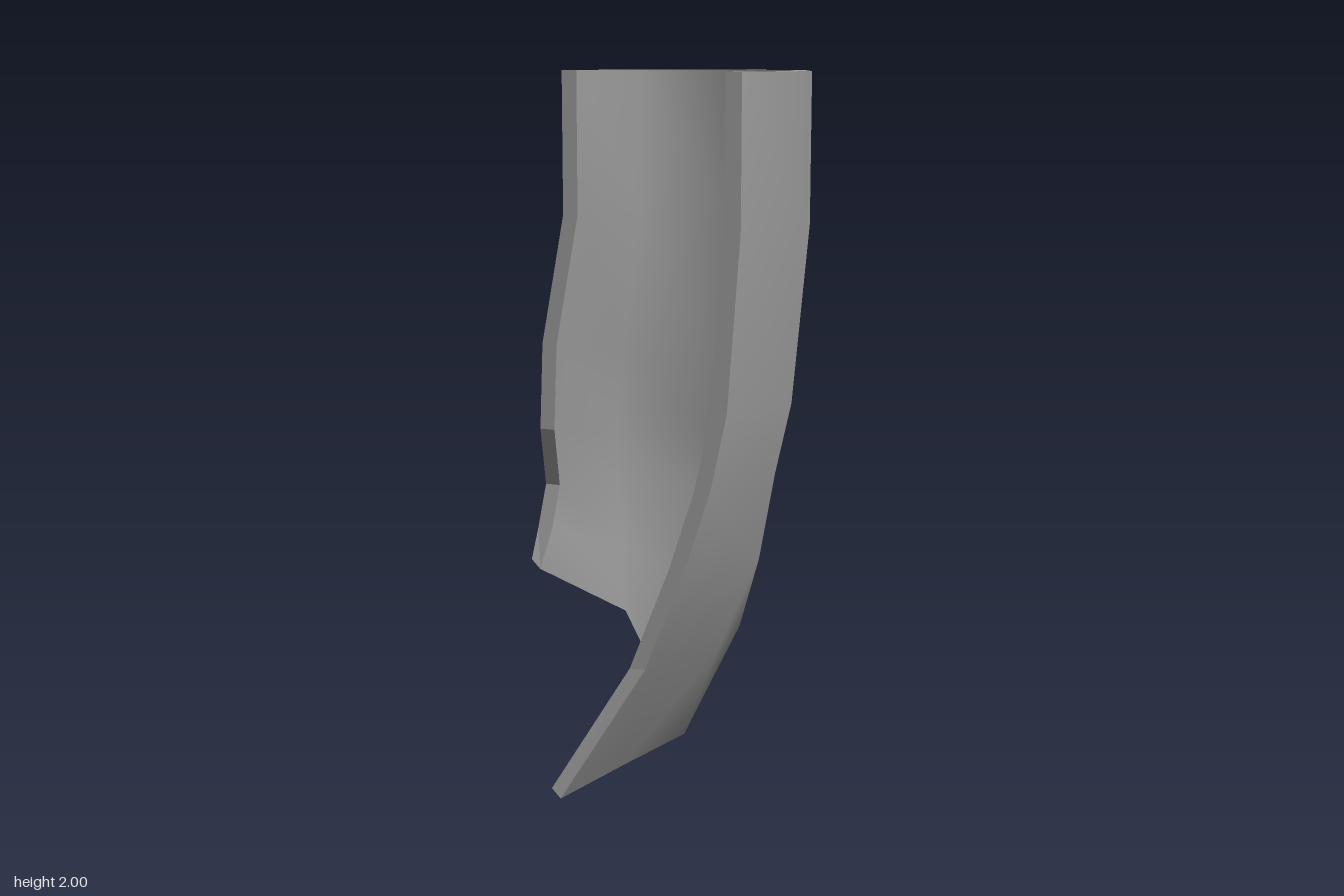
import * as THREE from 'three';
import { mergeGeometries, mergeVertices } from 'three/addons/utils/BufferGeometryUtils.js';

// Outer strands running down the shell from the straight collar to the slanted
// lower rim, going around from the front edge to the other free edge.
// inset is the step (x, z) from the outer to the inner skin.
const strands = [
  { inset: [-0.045, 0], path: [[0.33, 1.6, 0.293], [0.295, 1.12, 0.293], [0.25, 0.91, 0.293], [0.175, 0.68, 0.293], [0.06, 0.39, 0.293], [-0.175, 0, 0.345]] },
  { inset: [-0.045, 0], path: [[0.425, 1.6, 0.022], [0.38, 1.11, 0.022], [0.335, 0.91, 0.022], [0.29, 0.66, 0.022], [0.17, 0.38, 0.03], [-0.09, 0.025, 0.1]] },
  { inset: [-0.035, 0.03], path: [[0.32, 1.6, -0.235], [0.285, 1.13, -0.235], [0.25, 0.93, -0.235], [0.215, 0.7, -0.23], [0.155, 0.39, -0.19], [0, 0.05, -0.14]] },
  { inset: [0, 0.045], path: [[0.06, 1.6, -0.345], [0.02, 1.15, -0.345], [-0.01, 0.95, -0.345], [-0.02, 0.76, -0.342], [-0.05, 0.5, -0.265], [-0.12, 0.26, -0.185]] },
  { inset: [0.03, 0.03], path: [[-0.2, 1.6, -0.235], [-0.25, 1.2, -0.235], [-0.275, 0.95, -0.235], [-0.275, 0.8, -0.235], [-0.25, 0.6, -0.22], [-0.22, 0.42, -0.185]] },
  { inset: [0.045, 0], path: [[-0.305, 1.6, 0.022], [-0.375, 1.23, 0.022], [-0.385, 0.98, 0.022], [-0.405, 0.8, -0.05], [-0.42, 0.67, -0.025], [-0.43, 0.58, 0]] },
];

// Geometry from quads (corners counter-clockwise), smooth or faceted
function fromQuads(quads, smooth) {
  const positions = quads.flatMap(([a, b, c, d]) => [a, b, c, a, c, d].flat());
  let geometry = new THREE.BufferGeometry();
  geometry.setAttribute('position', new THREE.Float32BufferAttribute(positions, 3));
  if (smooth) geometry = mergeVertices(geometry);
  geometry.computeVertexNormals();
  return smooth ? geometry.toNonIndexed() : geometry;
}

// Quads between two neighbouring strands
function strip(p, q) {
  return p.slice(1).map((_, r) => [p[r], p[r + 1], q[r + 1], q[r]]);
}

// Quads of a whole skin
function sheet(lines) {
  return lines.slice(1).flatMap((line, i) => strip(lines[i], line));
}

function createShellGeometry() {
  const outer = strands.map(({ path }) => [[path[0][0], 2, path[0][2]], ...path]);
  const end = outer[0].length - 1;

  // Inner skin; at the lower rim the inset tilts with the slope of the wall
  const inner = outer.map((strand, i) => strand.map(([x, y, z], r) => {
    const [dx, dz] = strands[i].inset;
    return r === end ? [x + dx * 0.6, y - dx * 0.6, z + dz * 0.6] : [x + dx, y, z + dz];
  }));

  // Two long edges, then the top and lower rims
  const last = outer.length - 1;
  const edges = [...strip(outer[last], inner[last]), ...strip(inner[0], outer[0])];
  for (let i = 0; i < last; i++) {
    edges.push([outer[i][0], outer[i + 1][0], inner[i + 1][0], inner[i][0]]);
    edges.push([outer[i][end], inner[i][end], inner[i + 1][end], outer[i + 1][end]]);
  }

  return mergeGeometries([
    fromQuads(sheet(outer), true),
    fromQuads(sheet(inner.slice().reverse()), true),
    fromQuads(edges, false),
  ]);
}

export function createModel() {
  const group = new THREE.Group();
  group.name = 'curvedShell';
  const material = new THREE.MeshStandardMaterial({ color: 0x9c9c9c });
  const shell = new THREE.Mesh(createShellGeometry(), material);
  shell.name = 'shellWall';
  group.add(shell);
  return group;
}
